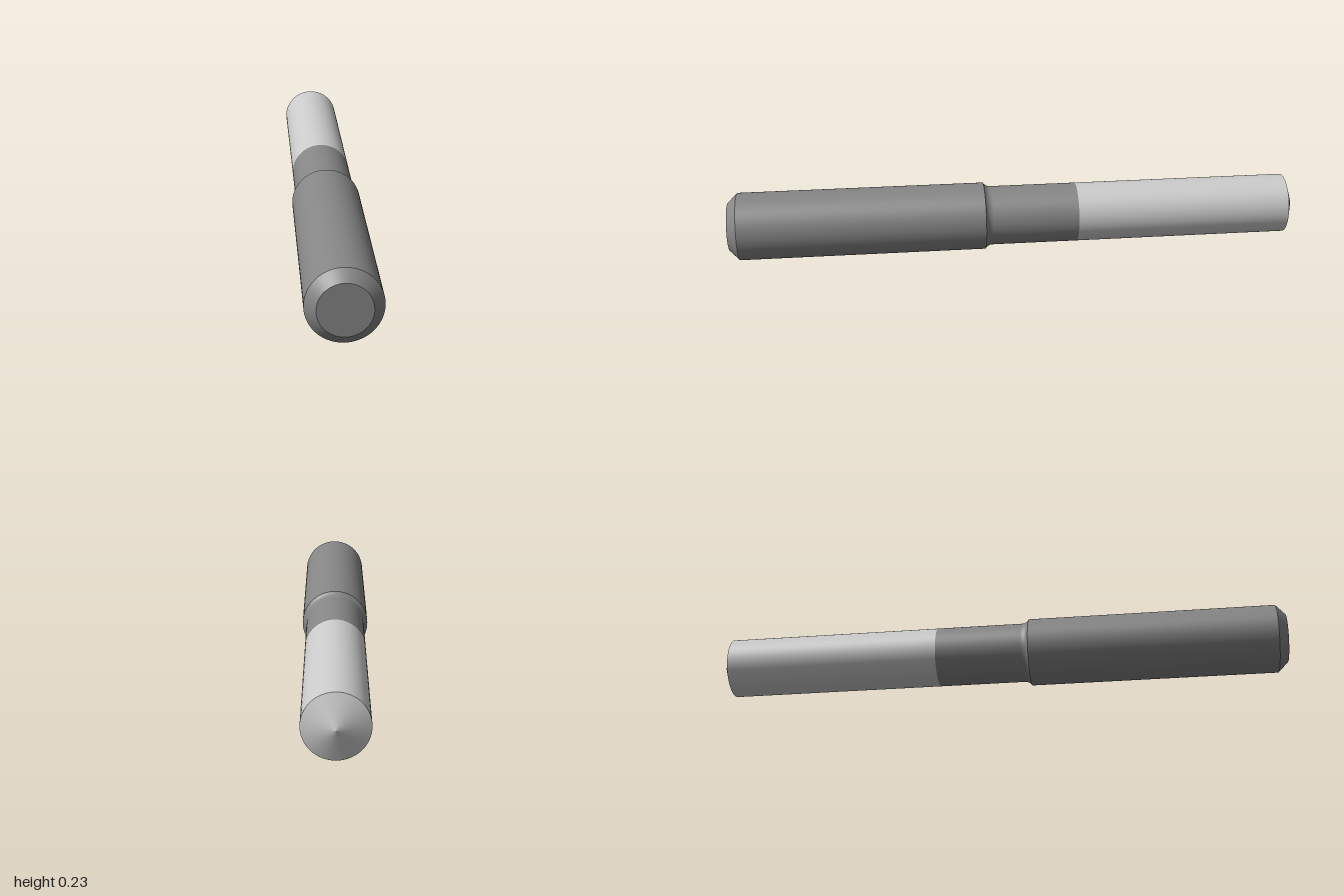
import * as THREE from 'three';
import { mergeGeometries } from 'three/addons/utils/BufferGeometryUtils.js';

const R = 0.117;      // shank radius
const r = 0.103;      // working diameter radius

// Turned part along z. Each run of [radius, z] points is smooth; edges between runs stay sharp.
function turned(name, color, runs) {
  const parts = runs.map(run =>
    new THREE.LatheGeometry(run.map(([x, z]) => new THREE.Vector2(x, z)), 96));
  const geometry = mergeGeometries(parts).rotateX(Math.PI / 2);
  const mesh = new THREE.Mesh(geometry, new THREE.MeshStandardMaterial({ color }));
  mesh.name = name;
  return mesh;
}

export function createModel() {
  const model = new THREE.Group();
  model.name = 'drillBlank';
  const dark = 0x868686;

  const tool = new THREE.Group();
  tool.name = 'tool';
  tool.position.y = R;
  model.add(tool);

  // Light cutting section with a shallow conical point
  tool.add(turned('cuttingSection', 0xcccccc, [
    [[0, -1], [r, -0.963]],
    [[r, -0.963], [r, -0.213]],
  ]));

  // Dark neck
  tool.add(turned('neck', dark, [
    [[r, -0.213], [r, 0.088]],
  ]));

  // Concave transition from the neck up to the shank
  const fillet = [];
  for (let i = 0; i <= 8; i++) {
    const a = (i / 8) * Math.PI / 3;
    fillet.push([r + (R - r) * (1 - Math.cos(a)) * 2, 0.088 + 0.025 * Math.sin(a) / Math.sin(Math.PI / 3)]);
  }
  tool.add(turned('shoulder', dark, [fillet]));

  // Shank with a chamfered flat end
  tool.add(turned('shank', dark, [
    [[R, 0.113], [R, 0.966]],
    [[R, 0.966], [0.083, 1]],
    [[0.083, 1], [0, 1]],
  ]));

  return model;
}
